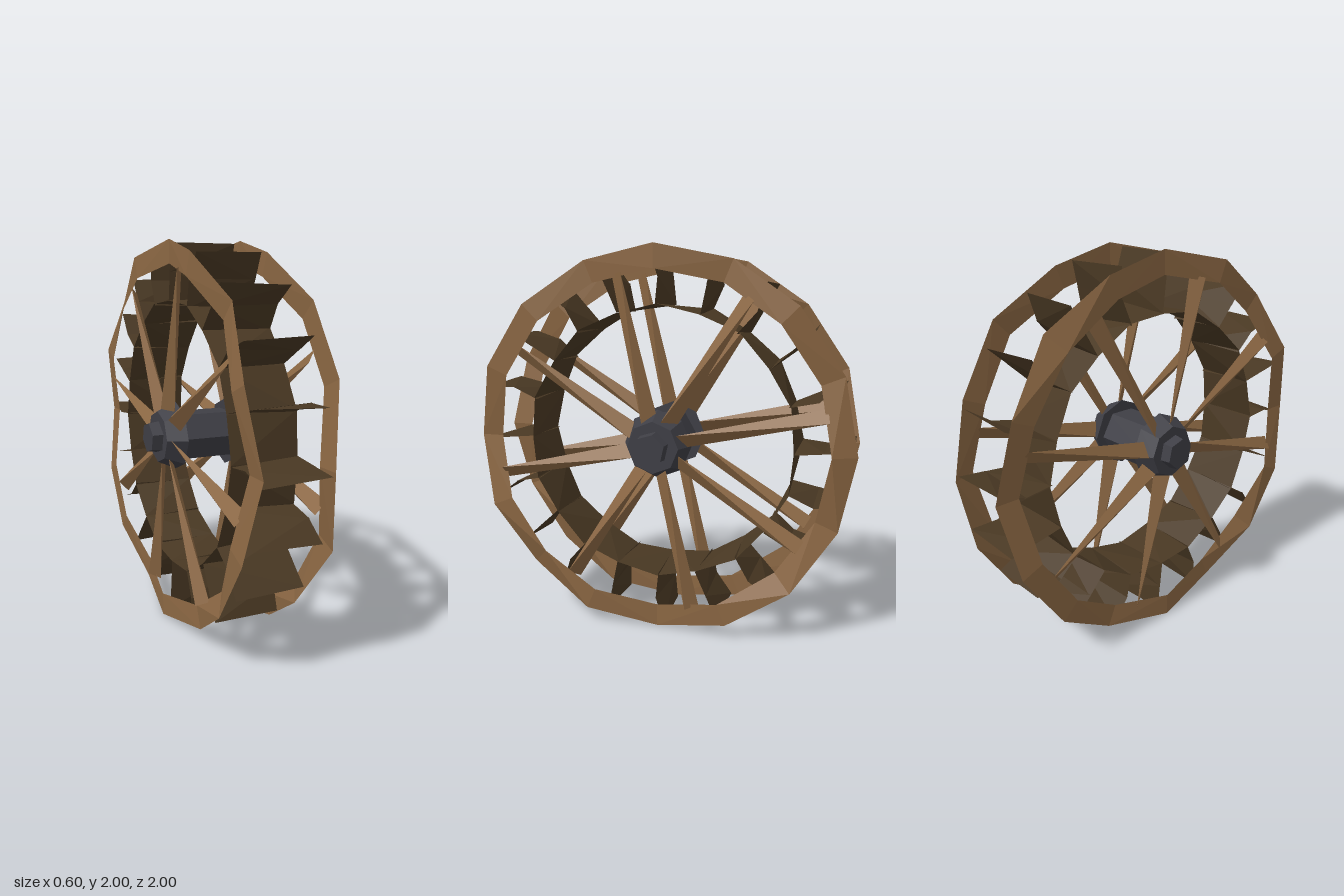
import * as THREE from 'three';
import { mergeGeometries } from 'three/addons/utils/BufferGeometryUtils.js';

const wood = new THREE.MeshStandardMaterial({ color: 0x8b6743, flatShading: true, side: THREE.DoubleSide });
wood.name = 'wood';
const darkWood = new THREE.MeshStandardMaterial({ color: 0x493823, flatShading: true, side: THREE.DoubleSide });
darkWood.name = 'darkWood';
const iron = new THREE.MeshStandardMaterial({ color: 0x3e3e45, flatShading: true });
iron.name = 'iron';

const CY = 1; // height of the axle

// Point in the wheel: across the axle (x), radius, angle from the top towards +z, sideways shift
function polar(x, r, angle, shift = 0) {
  const s = Math.sin(angle), c = Math.cos(angle);
  return new THREE.Vector3(x, CY + r * c - shift * s, r * s + shift * c);
}

// Warped plank: a thin solid whose two sides fold along opposite diagonals of four corners
function plank(a, b, c, d) {
  const ab = b.clone().sub(a), ac = c.clone().sub(a), ad = d.clone().sub(a);
  const q = ab.cross(ac).dot(ad) > 0 ? [a, c, b, d] : [a, b, c, d];
  const faces = [0, 1, 2, 0, 2, 3, 0, 3, 1, 1, 3, 2];
  const g = new THREE.BufferGeometry().setFromPoints(faces.map((i) => q[i]));
  g.computeVertexNormals();
  return g;
}

function addMesh(group, name, parts, material) {
  const mesh = new THREE.Mesh(mergeGeometries(parts), material);
  mesh.name = name;
  group.add(mesh);
}

// Cylinder or cone section along x, given the radius at each end
function drumAlongX(r0, r1, x0, x1, sides, turn = 0) {
  const g = new THREE.CylinderGeometry(r1, r0, x1 - x0, sides);
  g.rotateY(turn);
  g.rotateZ(-Math.PI / 2);
  g.translate((x0 + x1) / 2, CY, 0);
  return g;
}

export function createModel() {
  const wheel = new THREE.Group();
  wheel.name = 'waterWheel';

  // Rough rims: each corner sits on the inner (0) or outer (1) side
  const rims = [
    { name: 'leftRim', side: 1, outer: '1011010101100010', inner: '1011011101001010' },
    { name: 'rightRim', side: -1, outer: '0101011010110101', inner: '0101010010110111' },
  ];
  const N = 16;
  for (const { name, side, outer, inner } of rims) {
    const corner = (code, r, i) =>
      polar(side * (code[i % N] === '1' ? 0.225 : 0.172), r, (i / N) * Math.PI * 2);
    const parts = [];
    for (let i = 0; i < N; i++) {
      parts.push(plank(corner(outer, 1, i), corner(outer, 1, i + 1),
        corner(inner, 0.88, i + 1), corner(inner, 0.88, i)));
    }
    addMesh(wheel, name, parts, wood);
  }

  // Twisted spokes, eight on each side
  for (const side of [1, -1]) {
    const parts = [];
    for (let i = 0; i < 8; i++) {
      const a = THREE.MathUtils.degToRad(13 + i * 45);
      parts.push(plank(
        polar(side * 0.175, 0.13, a, -side * 0.036), polar(side * 0.225, 0.13, a, side * 0.036),
        polar(side * 0.175, 0.88, a, side * 0.032), polar(side * 0.225, 0.88, a, -side * 0.032)));
    }
    addMesh(wheel, side > 0 ? 'leftSpokes' : 'rightSpokes', parts, wood);
  }

  // Inner drum boards and, on their joints, paddles with a bent outer board
  const boards = [], paddles = [];
  const W = 0.173, step = Math.PI / 10;
  for (let i = 0; i < 20; i++) {
    const a = i * step, b = a + step, t = i % 2 ? 0.008 : -0.008;
    boards.push(plank(polar(-W, 0.705 + t, a), polar(W, 0.705 - t, a),
      polar(W, 0.705 + t, b), polar(-W, 0.705 - t, b)));
    paddles.push(plank(polar(-W, 0.7, a, t), polar(W, 0.7, a, -t),
      polar(W, 0.85, a, t), polar(-W, 0.85, a, -t)));
    paddles.push(plank(polar(-W, 0.84, a, -t), polar(W, 0.84, a, t),
      polar(W, 0.982, a, 0.03 - t), polar(-W, 0.982, a, 0.03 + t)));
  }
  addMesh(wheel, 'drumBoards', boards, darkWood);
  addMesh(wheel, 'paddles', paddles, darkWood);

  // Axle, hub blocks and end caps
  addMesh(wheel, 'axle', [drumAlongX(0.135, 0.135, -0.17, 0.17, 6)], iron);
  for (const side of [1, -1]) {
    const hub = new THREE.Group();
    hub.name = side > 0 ? 'leftHub' : 'rightHub';
    addMesh(hub, 'hubBlock', [drumAlongX(0.18, 0.135, 0.145, 0.245, 8)], iron);
    addMesh(hub, 'axleCap', [drumAlongX(0.088, 0.08, 0.24, 0.3, 6, 0.3)], iron);
    // Turn about the axle's upright line for the far side
    if (side < 0) hub.rotation.y = Math.PI;
    wheel.add(hub);
  }
  return wheel;
}
